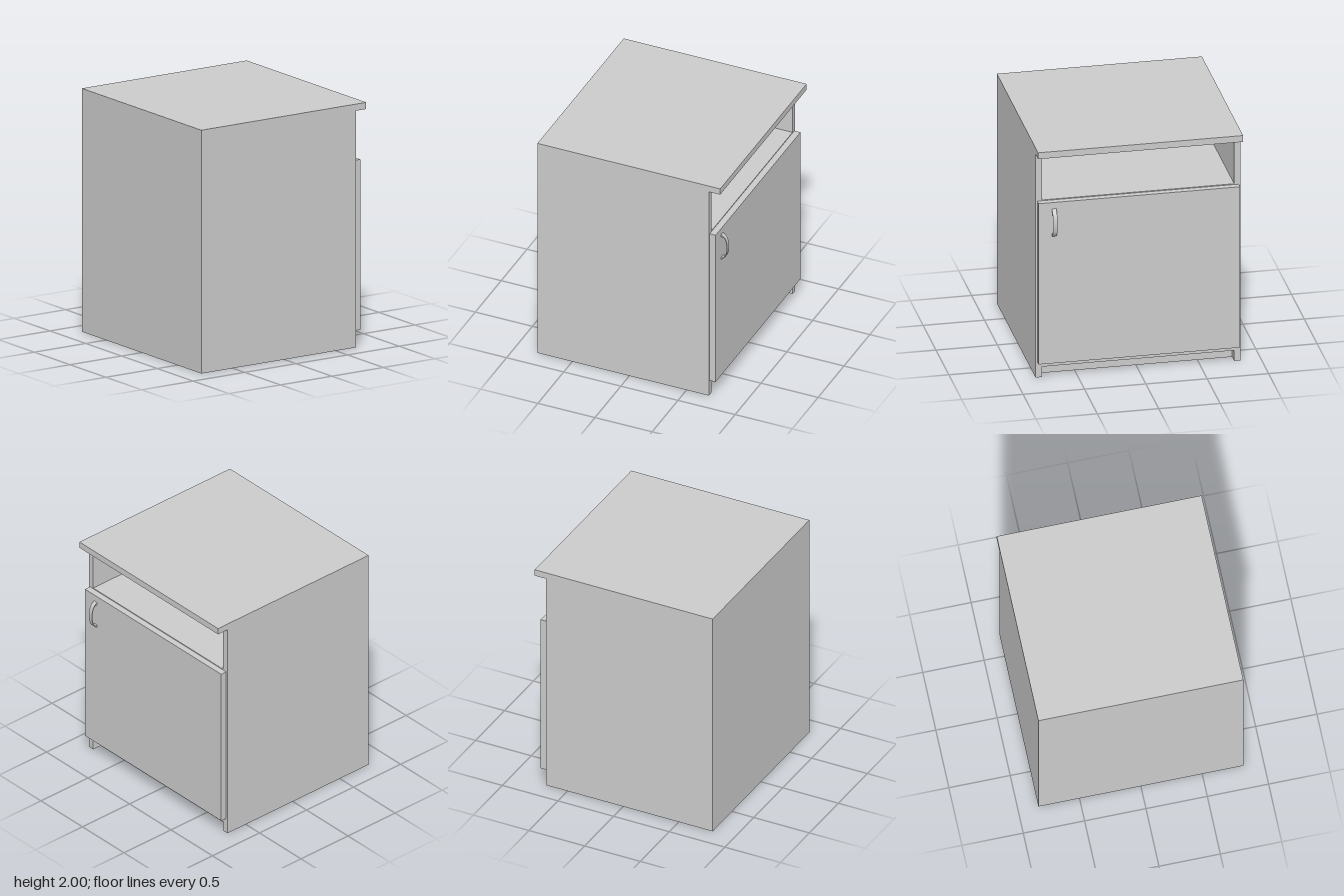
import * as THREE from 'three';

const material = new THREE.MeshStandardMaterial({ color: 0xcccccc, flatShading: true });
const handleMaterial = new THREE.MeshStandardMaterial({ color: 0xcccccc });

// Box panel given by its limits on each axis
function panel(name, [x0, x1], [y0, y1], [z0, z1]) {
  const mesh = new THREE.Mesh(new THREE.BoxGeometry(x1 - x0, y1 - y0, z1 - z0), material);
  mesh.position.set((x0 + x1) / 2, (y0 + y1) / 2, (z0 + z1) / 2);
  mesh.name = name;
  return mesh;
}

// Bowed strap handle: side profile extruded across its width
function createHandle() {
  const midY = 1.36, width = 0.036;
  const s = new THREE.Shape();
  s.moveTo(0.748, midY + 0.12);
  s.lineTo(0.772, midY + 0.1);
  s.bezierCurveTo(0.811, midY + 0.07, 0.811, midY - 0.07, 0.772, midY - 0.1);
  s.lineTo(0.748, midY - 0.12);
  s.lineTo(0.748, midY - 0.096);
  s.lineTo(0.768, midY - 0.096);
  s.bezierCurveTo(0.804, midY - 0.068, 0.804, midY + 0.068, 0.768, midY + 0.096);
  s.lineTo(0.748, midY + 0.096);
  s.closePath();
  const geometry = new THREE.ExtrudeGeometry(s, { depth: width, bevelEnabled: false, curveSegments: 20 });
  const mesh = new THREE.Mesh(geometry, handleMaterial);
  mesh.position.z = 0.695 - width / 2;
  mesh.name = 'handle';
  return mesh;
}

export function createModel() {
  const group = new THREE.Group();
  group.name = 'bedsideCabinet';

  const back = -0.805, front = 0.695, outer = 0.835, inner = 0.783;
  const between = [-inner, inner];

  group.add(
    // Carcass
    panel('top', [back, 0.795], [1.945, 2], [-outer, outer]),
    panel('leftSide', [back, front], [0, 1.945], [-outer, -inner]),
    panel('rightSide', [back, front], [0, 1.945], [inner, outer]),
    panel('backPanel', [back, back + 0.05], [0, 1.945], between),
    // Floor and recessed plinth
    panel('floor', [back + 0.05, front], [0.09, 0.145], between),
    panel('plinth', [back + 0.05, 0.615], [0, 0.09], between),
    // Shelf of the open niche
    panel('shelf', [back + 0.05, front], [1.487, 1.542], between),
    // Overlay door
    panel('door', [front, 0.748], [0.135, 1.535], [-0.82, 0.82]),
    createHandle()
  );
  return group;
}
